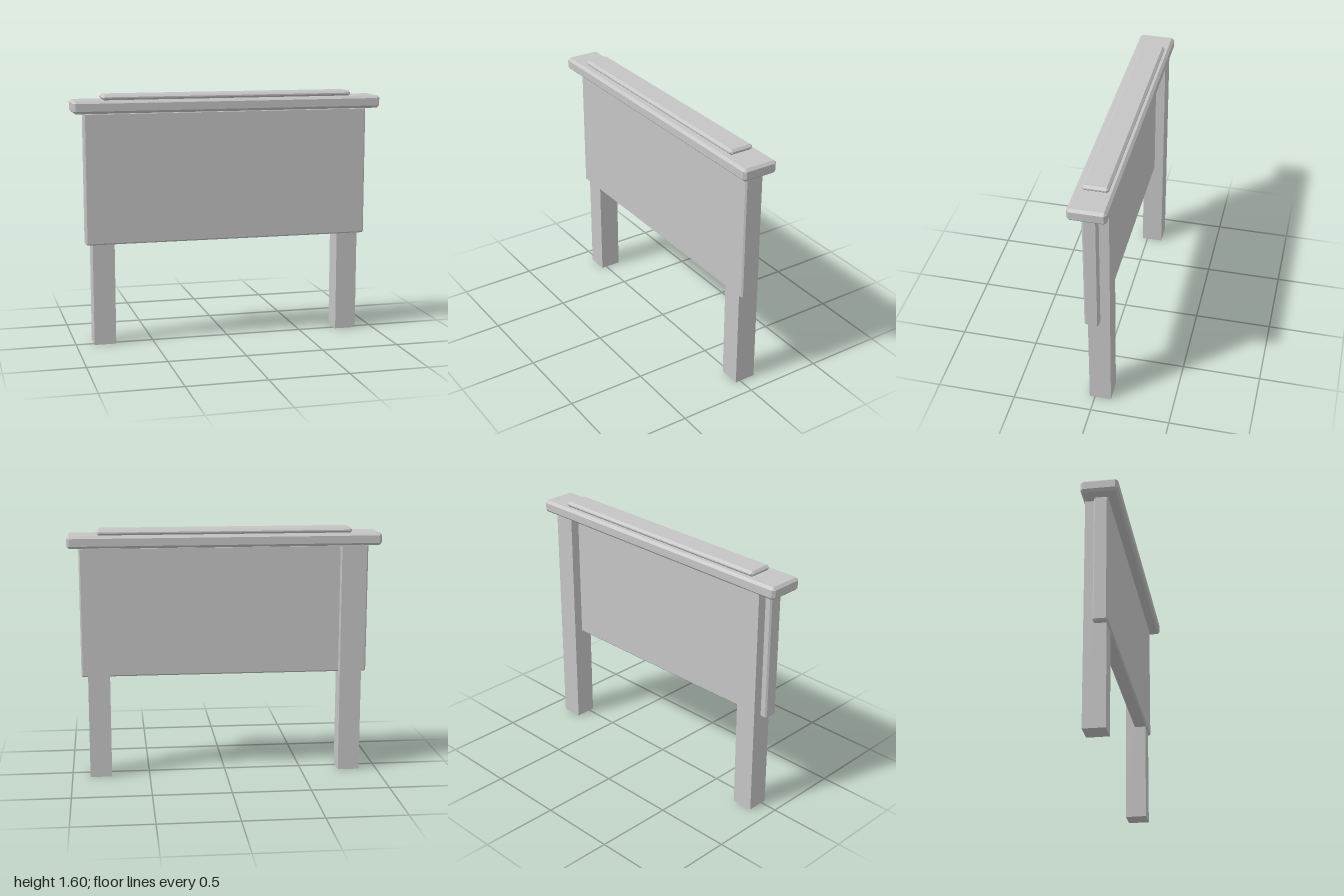
import * as THREE from 'three';
import { ConvexGeometry } from 'three/addons/geometries/ConvexGeometry.js';

// Box with every edge cut at 45 degrees, built as a hull of three shrunken face pairs
function chamferedBox(w, h, d, c) {
  const points = [];
  for (const sx of [-1, 1]) for (const sy of [-1, 1]) for (const sz of [-1, 1]) {
    for (let axis = 0; axis < 3; axis++) {
      const inset = [c, c, c];
      inset[axis] = 0;
      points.push(new THREE.Vector3(
        sx * (w / 2 - inset[0]), sy * (h / 2 - inset[1]), sz * (d / 2 - inset[2])));
    }
  }
  return new ConvexGeometry(points);
}

export function createModel() {
  const group = new THREE.Group();
  group.name = 'signBoard';
  const grey = new THREE.MeshStandardMaterial({ color: 0xc5c5c5 });
  grey.name = 'lightGrey';

  const add = (name, geometry, x, y, z) => {
    const mesh = new THREE.Mesh(geometry, grey);
    mesh.name = name;
    mesh.position.set(x, y, z);
    group.add(mesh);
  };

  // Square posts standing behind the panel
  for (const [name, side] of [['leftPost', 1], ['rightPost', -1]]) {
    add(name, new THREE.BoxGeometry(0.14, 1.5, 0.138), side * 0.815, 0.75, -0.035);
  }

  // Main board
  add('panel', chamferedBox(1.856, 0.837, 0.09, 0.009), 0, 1.0725, 0.001);

  // Overhanging cap and the thin strip on top of it
  add('cap', chamferedBox(2, 0.08, 0.232, 0.016), 0, 1.531, 0);
  add('topStrip', chamferedBox(1.624, 0.036, 0.16, 0.014), 0, 1.586, -0.006);

  return group;
}
